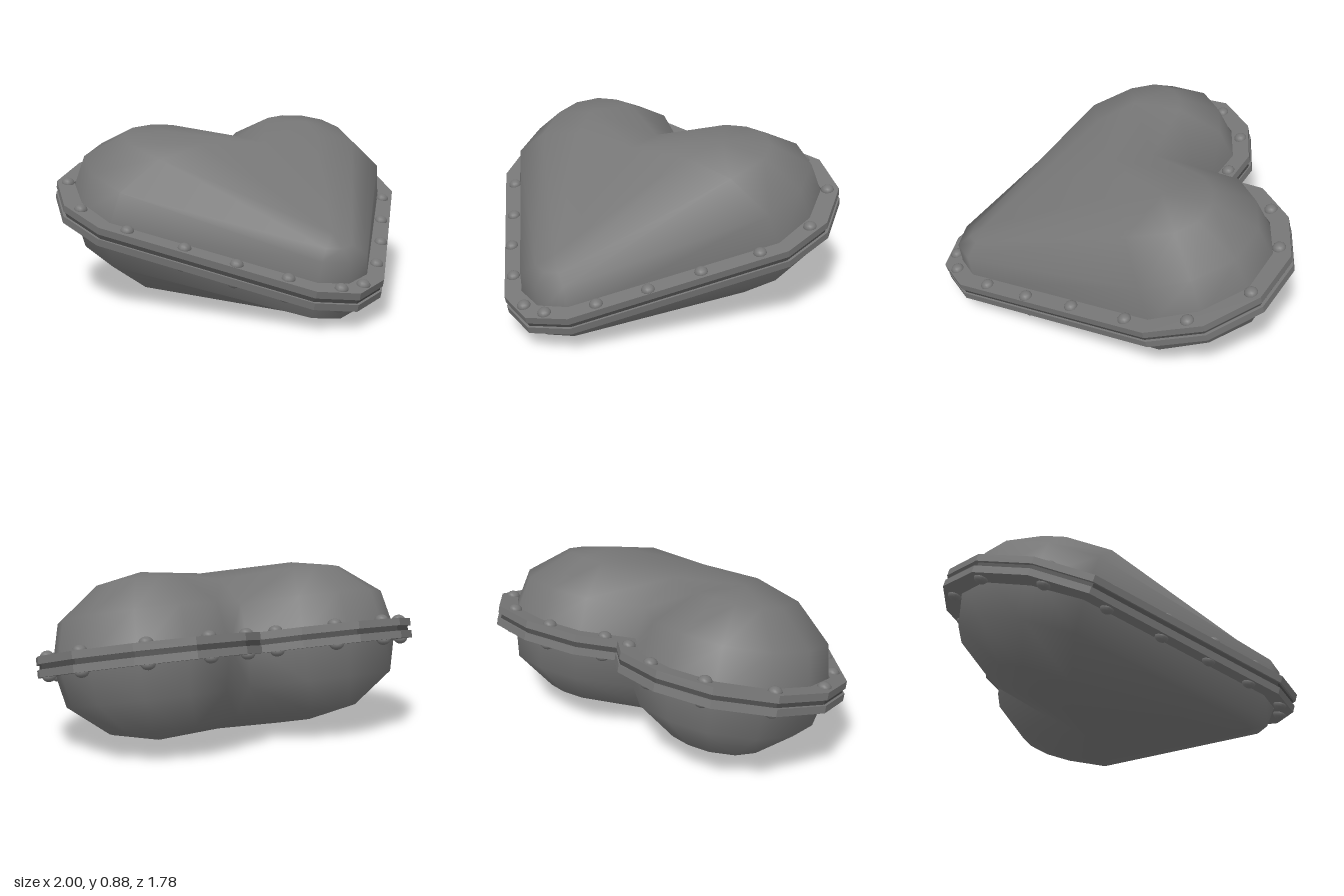
import * as THREE from 'three';
import { mergeVertices } from 'three/addons/utils/BufferGeometryUtils.js';

const metal = new THREE.MeshStandardMaterial({ color: 0x767676 });
const dark = new THREE.MeshStandardMaterial({ color: 0x4a4a4a });

// Right halves of the heart outlines, from the tip round to the notch: [x, z]
const RIM = [[0, 0.905], [0.2, 0.825], [0.93, -0.06], [1, -0.345], [0.925, -0.64],
  [0.71, -0.85], [0.43, -0.913], [0.15, -0.85], [0, -0.71]];
const BODY = [[0, 0.81], [0.15, 0.755], [0.86, -0.1], [0.905, -0.35], [0.845, -0.605],
  [0.66, -0.775], [0.43, -0.82], [0.2, -0.775], [0, -0.58]];
const RIVETS = [[0.065, 0.835], [0.265, 0.675], [0.44, 0.478], [0.61, 0.255], [0.805, 0.008],
  [0.935, -0.28], [0.875, -0.606], [0.63, -0.81], [0.335, -0.846], [0.08, -0.716]];

// Crown points the dome rises to, with its heights at each ring
const TIP = { x: 0, z: 0.61, heights: [0, 0.155, 0.19, 0.228] };
const SHOULDER = { x: 0.35, z: -0.122, heights: [0, 0.21, 0.37, 0.427] };
const LOBE = { x: 0.43, z: -0.335, heights: [0, 0.21, 0.365, 0.418] };
const NOTCH = { x: 0, z: -0.113, heights: [0, 0.21, 0.355, 0.415] };
const CROWNS = [TIP, TIP, SHOULDER, LOBE, LOBE, LOBE, LOBE, LOBE, NOTCH];
const SPREAD = [1, 0.905, 0.5, 0];

const mirrored = (half) => [...half, ...half.slice(1, -1).reverse().map(([x, z]) => [-x, z])];

// One puffed half of the heart; side is 1 for the top, -1 for the bottom
function domeGeometry(side) {
  const outline = mirrored(BODY);
  const n = outline.length;
  const positions = [];
  const index = [];
  const face = (a, b, c) => index.push(...(side > 0 ? [a, b, c] : [a, c, b]));

  SPREAD.forEach((spread, ring) => {
    outline.forEach(([x, z], i) => {
      const crown = CROWNS[Math.min(i, n - i)];
      const cx = crown.x * Math.sign(x);
      positions.push(cx + (x - cx) * spread, side * crown.heights[ring],
        crown.z + (z - crown.z) * spread);
    });
  });
  for (let ring = 0; ring < SPREAD.length - 1; ring++) {
    for (let i = 0; i < n; i++) {
      const a = ring * n + i;
      const b = ring * n + (i + 1) % n;
      face(a, b, b + n);
      face(a, b + n, a + n);
    }
  }
  // Crown between the tip, the shoulders, the lobes and the notch
  const top = (SPREAD.length - 1) * n;
  face(top, top + 2, top + 8);
  face(top + 2, top + 4, top + 8);
  face(top, top + 8, top + 14);
  face(top + 14, top + 8, top + 12);

  let geometry = new THREE.BufferGeometry();
  geometry.setAttribute('position', new THREE.Float32BufferAttribute(positions, 3));
  geometry.setIndex(index);
  geometry = mergeVertices(geometry, 1e-4);
  geometry.computeVertexNormals();
  return geometry;
}

// Flat heart-shaped ring with the body cut out of it
function flangeGeometry(thickness, scale) {
  const points = (half, s) => mirrored(half).map(([x, z]) => new THREE.Vector2(x * s, -z * s));
  const shape = new THREE.Shape(points(RIM, scale));
  shape.holes.push(new THREE.Path(points(BODY, 0.995)));
  return new THREE.ExtrudeGeometry(shape, { depth: thickness, bevelEnabled: false })
    .rotateX(-Math.PI / 2);
}

export function createModel() {
  const model = new THREE.Group();
  model.name = 'heartCase';
  const tilted = new THREE.Group();
  tilted.name = 'tiltedBody';
  tilted.position.y = 0.386;
  tilted.rotation.x = THREE.MathUtils.degToRad(15.2);
  model.add(tilted);

  const add = (name, geometry, material, x = 0, y = 0, z = 0) => {
    const mesh = new THREE.Mesh(geometry, material);
    mesh.name = name;
    mesh.position.set(x, y, z);
    tilted.add(mesh);
  };

  // Recessed seal between the two flanges
  add('seal', flangeGeometry(0.026, 0.985), dark, 0, -0.013, 0);

  const flange = flangeGeometry(0.037, 1);
  const rivet = new THREE.SphereGeometry(0.035, 12, 8).scale(1, 0.8, 1);
  for (const side of [1, -1]) {
    const level = side > 0 ? 'upper' : 'lower';
    add(level + 'Dome', domeGeometry(side), metal);
    add(level + 'Flange', flange, metal, 0, side > 0 ? 0.013 : -0.05, 0);
    // Rivets mirrored left and right
    for (const [x, z] of RIVETS) {
      add(level + 'RivetLeft', rivet, metal, x, side * 0.048, z);
      add(level + 'RivetRight', rivet, metal, -x, side * 0.048, z);
    }
  }
  return model;
}
